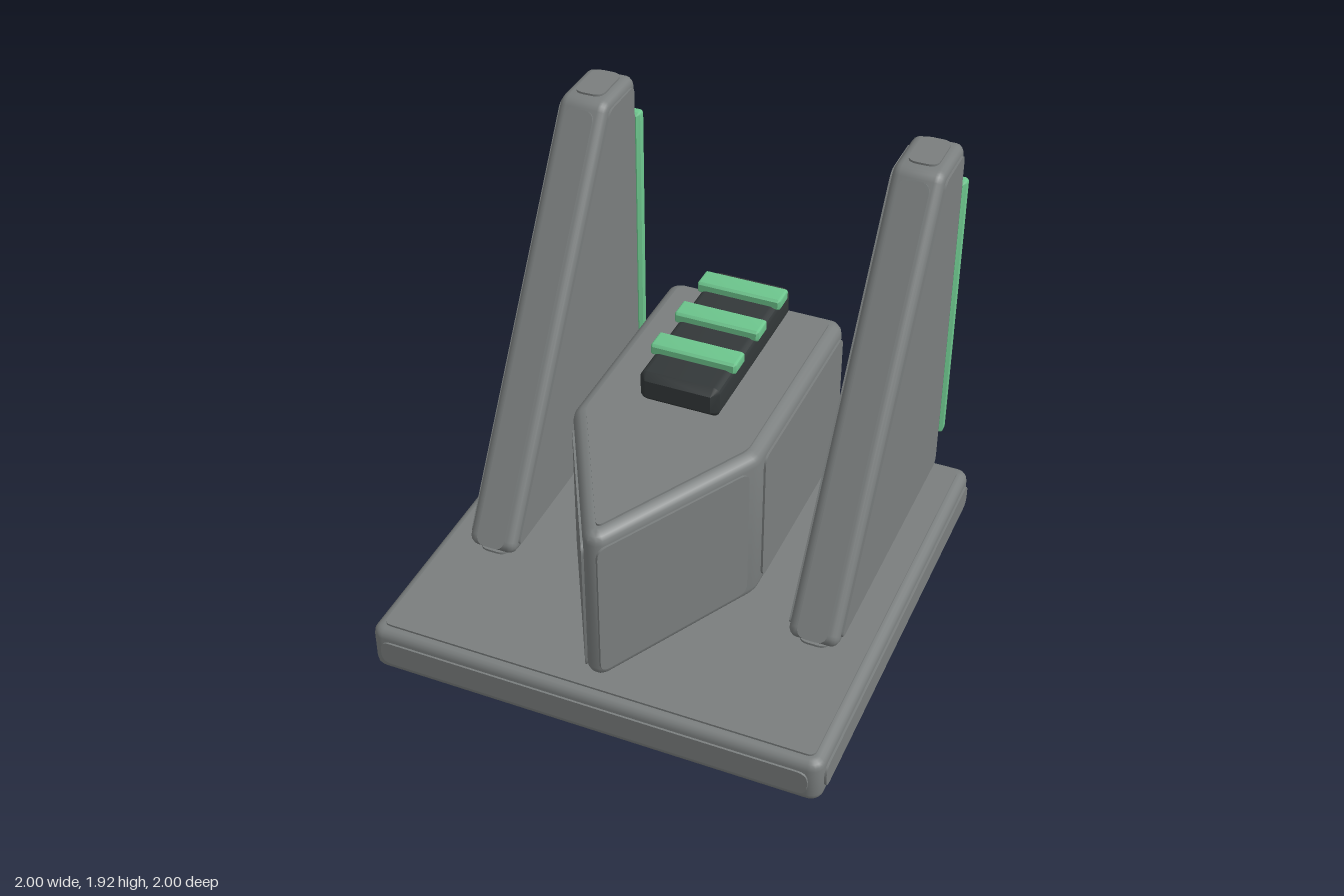
import * as THREE from 'three';
import { toCreasedNormals } from 'three/addons/utils/BufferGeometryUtils.js';

const mat = (name, color) => new THREE.MeshStandardMaterial({ name, color });
const V = (x, y) => new THREE.Vector2(x, y);
const PLATE = 0.009;

// Convex counter-clockwise polygon moved inward by d
function inset(pts, d) {
  const n = pts.length;
  return pts.map((p, i) => {
    const a = p.clone().sub(pts[(i + n - 1) % n]).normalize();
    const b = pts[(i + 1) % n].clone().sub(p).normalize();
    const n1 = V(-a.y, a.x), n2 = V(-b.y, b.x);
    return p.clone().addScaledVector(n1.clone().add(n2), d / (1 + n1.dot(n2)));
  });
}

// Polygon with each corner replaced by a curve that starts t away from it
function roundedShape(pts, t) {
  const n = pts.length, s = new THREE.Shape();
  pts.forEach((p, i) => {
    const toward = q => p.clone().addScaledVector(q.clone().sub(p).normalize(), t);
    const a = toward(pts[(i + n - 1) % n]), b = toward(pts[(i + 1) % n]);
    if (i) s.lineTo(a.x, a.y); else s.moveTo(a.x, a.y);
    s.quadraticCurveTo(p.x, p.y, b.x, b.y);
  });
  s.closePath();
  return s;
}

const rect = (w, h) => [V(-w / 2, -h / 2), V(w / 2, -h / 2), V(w / 2, h / 2), V(-w / 2, h / 2)];

// Prism along z, centred, with bevelled rims
function prism(pts, depth, bevel, t, segments) {
  const g = new THREE.ExtrudeGeometry(roundedShape(inset(pts, bevel), t), {
    depth: depth - 2 * bevel, bevelEnabled: true, bevelSize: bevel,
    bevelThickness: bevel, bevelSegments: segments, curveSegments: 5
  });
  g.translate(0, 0, bevel - depth / 2);
  return toCreasedNormals(g, segments > 1 ? 0.7 : 0.3);
}

// Thin raised plate facing +z
function plate(pts, t) {
  const g = new THREE.ExtrudeGeometry(roundedShape(pts, t), { depth: PLATE + 0.001, bevelEnabled: false, curveSegments: 5 });
  g.translate(0, 0, -0.001);
  return toCreasedNormals(g, 0.7);
}

// Rounded prism with a raised plate on every face
function platedPrism(name, pts, depth, bevel, margin, material) {
  const group = new THREE.Group();
  group.name = name;
  const add = (part, geometry) => {
    const m = new THREE.Mesh(geometry, material);
    m.name = name + part;
    group.add(m);
    return m;
  };
  add('Body', prism(pts, depth, bevel, 0.018, 4));

  // Plates on the two ends; the second is mirrored by turning it about y
  const cap = inset(pts, bevel + 0.003);
  add('EndPlate', plate(cap, 0.035)).position.z = depth / 2;
  const back = add('EndPlate', plate(cap.map(p => V(-p.x, p.y)).reverse(), 0.035));
  back.rotation.y = Math.PI;
  back.position.z = -depth / 2;

  // Plates along the edges
  pts.forEach((p, i) => {
    const q = pts[(i + 1) % pts.length];
    const d = q.clone().sub(p), length = d.length();
    d.normalize();
    const out = new THREE.Vector3(d.y, -d.x, 0);
    const m = add('SidePlate', plate(rect(length - 2 * margin, depth - 2 * margin), 0.045));
    m.quaternion.setFromRotationMatrix(new THREE.Matrix4().makeBasis(
      new THREE.Vector3(d.x, d.y, 0), new THREE.Vector3(0, 0, 1), out));
    m.position.set((p.x + q.x) / 2, (p.y + q.y) / 2, 0);
  });
  return group;
}

export function createModel() {
  const model = new THREE.Group();
  model.name = 'model';
  const grey = mat('hullGrey', 0x7a7e7e);
  const dark = mat('darkMetal', 0x333839);
  const green = mat('glowGreen', 0x6cc48c);

  // Square base slab
  const base = platedPrism('base', rect(1.982, 1.982), 0.212, 0.04, 0.05, grey);
  base.rotation.x = -Math.PI / 2;
  base.position.y = 0.115;
  model.add(base);

  // Central block with a pointed bow
  const outline = [V(0, -0.965), V(0.41, -0.2), V(0.41, 0.835), V(-0.41, 0.835), V(-0.41, -0.2)];
  const hull = platedPrism('hull', outline, 0.745, 0.05, 0.055, grey);
  hull.rotation.x = -Math.PI / 2;
  hull.position.y = 0.615;
  model.add(hull);

  // Chamfered box helper
  const box = (name, w, h, d, bevel, material, x, y, z) => {
    const m = new THREE.Mesh(prism(rect(w, h), d, bevel, 0.002, 1), material);
    m.name = name;
    m.position.set(x, y, z);
    model.add(m);
  };

  // Tall sloped fins with a light strip on the back
  const profile = [V(-0.43, 0.245), V(0.94, 0.245), V(0.94, 1.915), V(0.64, 1.915)];
  for (const [side, x] of [['left', 0.732], ['right', -0.732]]) {
    const fin = platedPrism(side + 'Fin', profile, 0.216, 0.036, 0.043, grey);
    fin.rotation.y = Math.PI / 2;
    fin.position.x = x;
    model.add(fin);
    box(side + 'LightStrip', 0.255, 1.3, 0.06, 0.014, green, x, 1.08, -0.95);
  }

  // Dark spine on the deck with three light bars
  box('spine', 0.35, 0.14, 0.845, 0.03, dark, 0, 1.07, -0.35);
  for (const z of [-0.64, -0.39, -0.14]) {
    box('lightBar', 0.38, 0.052, 0.108, 0.01, green, 0, 1.15, z);
  }
  return model;
}
